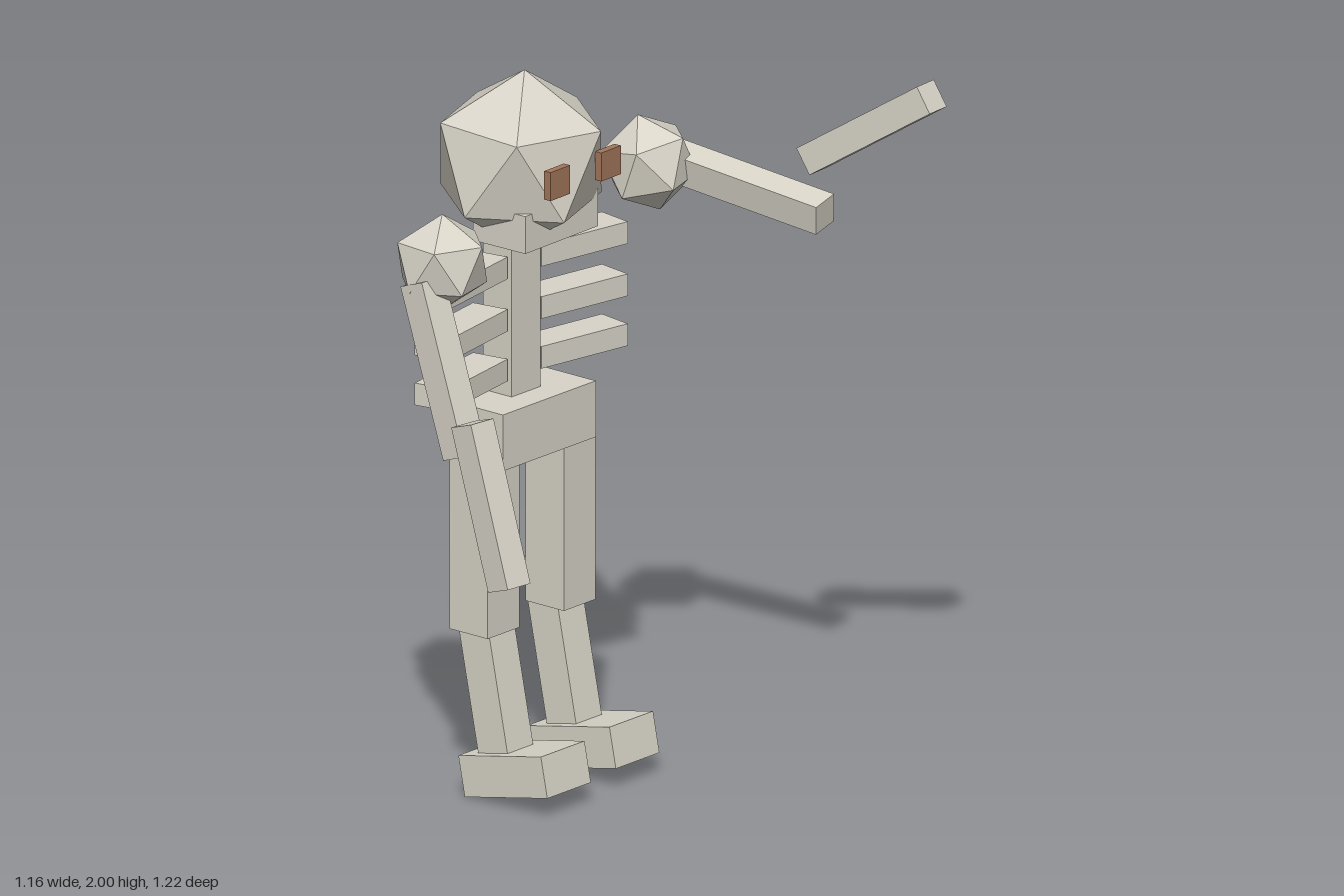
import * as THREE from 'three';

export function createModel() {
  const model = new THREE.Group();
  const bone = new THREE.MeshStandardMaterial({ color: 0xd8d4c8 });
  bone.name = 'bone';
  const brown = new THREE.MeshStandardMaterial({ color: 0xa3765a });
  brown.name = 'eyeBrown';
  const YAW = -0.08; // the whole body is turned slightly to its right

  function add(name, geometry, pos, rot = [0, YAW, 0], material = bone) {
    const mesh = new THREE.Mesh(geometry, material);
    mesh.name = name;
    mesh.position.set(...pos);
    mesh.rotation.set(rot[0], rot[1], rot[2] || 0, 'YXZ');
    model.add(mesh);
    return mesh;
  }
  const box = (name, size, pos, rot, material) =>
    add(name, new THREE.BoxGeometry(...size), pos, rot, material);

  // Icosahedron standing on one corner, turned about its upright axis
  function gem(radius, turn) {
    const g = new THREE.IcosahedronGeometry(radius, 0);
    g.rotateZ(Math.atan2(2, 1 + Math.sqrt(5)));
    g.rotateY(turn);
    return g;
  }

  // Square bar between two points; side gives the direction of its width
  function bar(name, from, to, thick, side) {
    const a = new THREE.Vector3(...from), b = new THREE.Vector3(...to);
    const y = b.clone().sub(a);
    const mesh = add(name, new THREE.BoxGeometry(thick, y.length(), thick), [0, 0, 0]);
    y.normalize();
    const z = new THREE.Vector3(...side).cross(y).normalize();
    const x = new THREE.Vector3().crossVectors(y, z);
    mesh.quaternion.setFromRotationMatrix(new THREE.Matrix4().makeBasis(x, y, z));
    mesh.position.copy(a.add(b).multiplyScalar(0.5));
  }

  // Head, jaw and eyes
  add('head', gem(0.25, 0.576), [0.021, 1.742, -0.397], [0.05, 0, 0]).scale.x = 1.03;
  box('jaw', [0.305, 0.105, 0.18], [0.017, 1.593, -0.345], [0, -0.06, 0]);
  box('rightEye', [0.082, 0.08, 0.022], [-0.098, 1.745, -0.19], [0, -0.06, 0], brown);
  box('leftEye', [0.082, 0.08, 0.022], [0.115, 1.745, -0.178], [0, -0.06, 0], brown);

  // Spine and pelvis
  box('spine', [0.118, 0.56, 0.1], [0.023, 1.3, -0.428]);
  box('pelvis', [0.38, 0.158, 0.21], [0.022, 1.009, -0.402]);

  // Ribs and legs, mirrored about the turned body line
  for (const s of [1, -1]) {
    const label = s > 0 ? 'left' : 'right';
    for (const y of [1.452, 1.305, 1.165]) {
      box(label + 'Rib', [0.3, 0.062, 0.108],
        [0.022 + s * 0.225, y, -0.412 + s * 0.018], [0, YAW - s * 0.165, 0]);
    }
    const x = 0.022 + s * 0.155;
    box(label + 'Thigh', [0.13, 0.5, 0.135], [x, 0.71, -0.392 + s * 0.0125]);
    box(label + 'Shin', [0.105, 0.48, 0.105], [x, 0.35, -0.375], [-0.2, YAW, 0]);
    box(label + 'Foot', [0.178, 0.114, 0.296], [x, 0.09, -0.272], [-0.2, YAW, 0]);
  }

  // Right arm hangs down
  add('rightShoulder', gem(0.135, 0.45), [-0.337, 1.545, -0.395], [0, 0, 0]);
  bar('rightUpperArm', [-0.413, 1.51, -0.405], [-0.442, 1.06, -0.243], 0.085, [0.98, 0, 0.15]);
  bar('rightForearm', [-0.509, 1.184, -0.17], [-0.538, 0.756, -0.027], 0.082, [0.98, 0, 0.2]);

  // Left arm reaches forward and is raised
  add('leftShoulder', gem(0.135, 0.45), [0.385, 1.662, -0.24], [-0.2, 0, 0.1]);
  bar('leftUpperArm', [0.45, 1.66, -0.22], [0.475, 1.592, 0.275], 0.085, [0.984, 0.18, 0]);
  bar('leftForearm', [0.522, 1.722, 0.196], [0.537, 1.966, 0.582], 0.08, [1, 0, 0]);

  return model;
}
